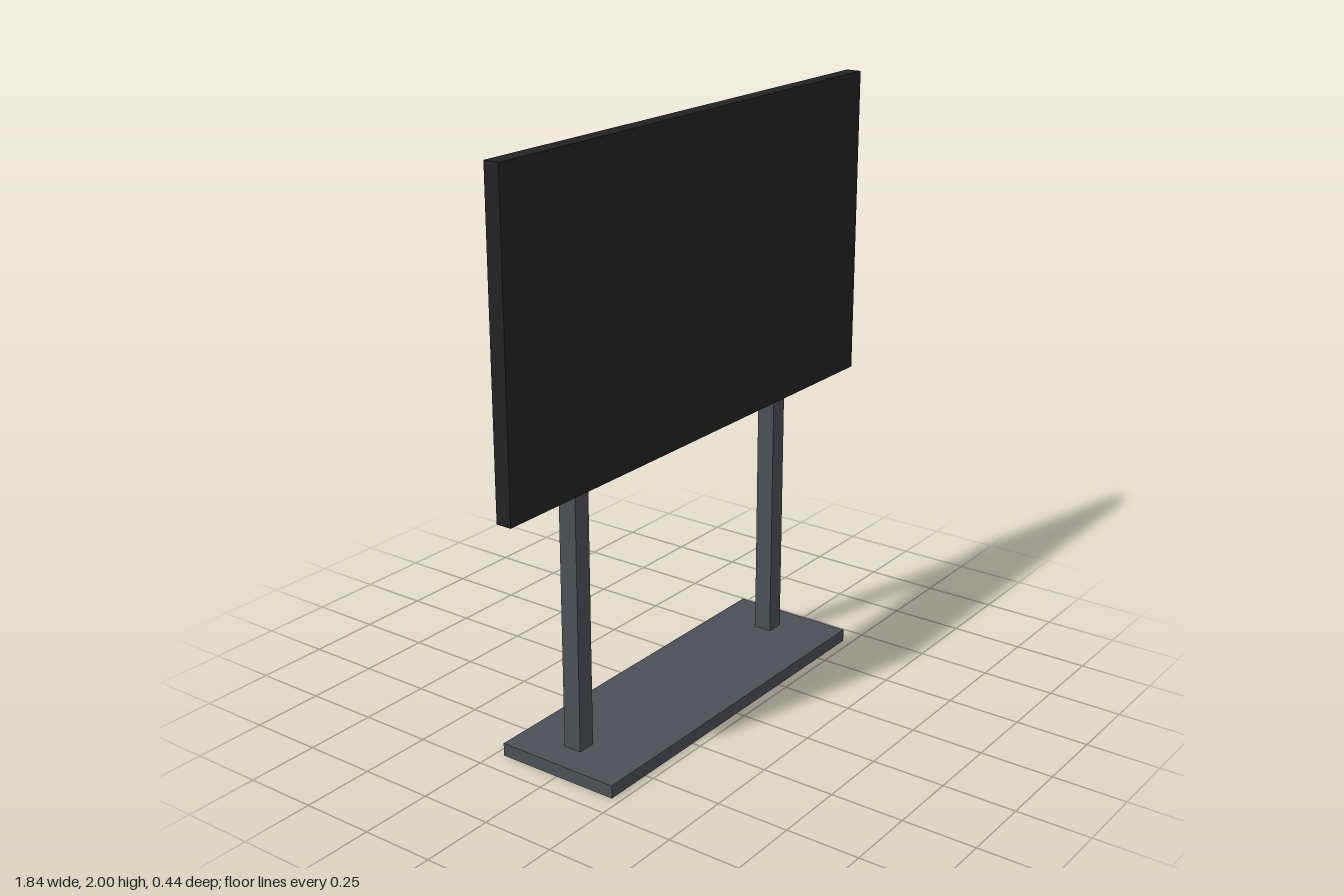
import * as THREE from 'three';

export function createModel() {
  const model = new THREE.Group();
  model.name = 'displayStand';

  const panelBlack = new THREE.MeshStandardMaterial({ name: 'panel black', color: 0x222222 });
  const slateGrey = new THREE.MeshStandardMaterial({ name: 'slate grey', color: 0x4b4f58 });

  // Box given by its centre x, width, and y and z ranges
  function addBox(name, material, x, width, [y0, y1], [z0, z1]) {
    const mesh = new THREE.Mesh(new THREE.BoxGeometry(width, y1 - y0, z1 - z0), material);
    mesh.name = name;
    mesh.position.set(x, (y0 + y1) / 2, (z0 + z1) / 2);
    model.add(mesh);
  }

  // Floor plate
  addBox('base', slateGrey, 0, 1.34, [0, 0.044], [-0.22, 0.22]);

  // Two square posts behind the panel
  for (const [name, side] of [['leftPost', 1], ['rightPost', -1]]) {
    addBox(name, slateGrey, side * 0.536, 0.064, [0.044, 1.573], [-0.052, 0.012]);
  }

  // Wide display panel on the front of the posts
  addBox('displayPanel', panelBlack, 0, 1.84, [0.945, 2], [0.014, 0.067]);

  return model;
}
